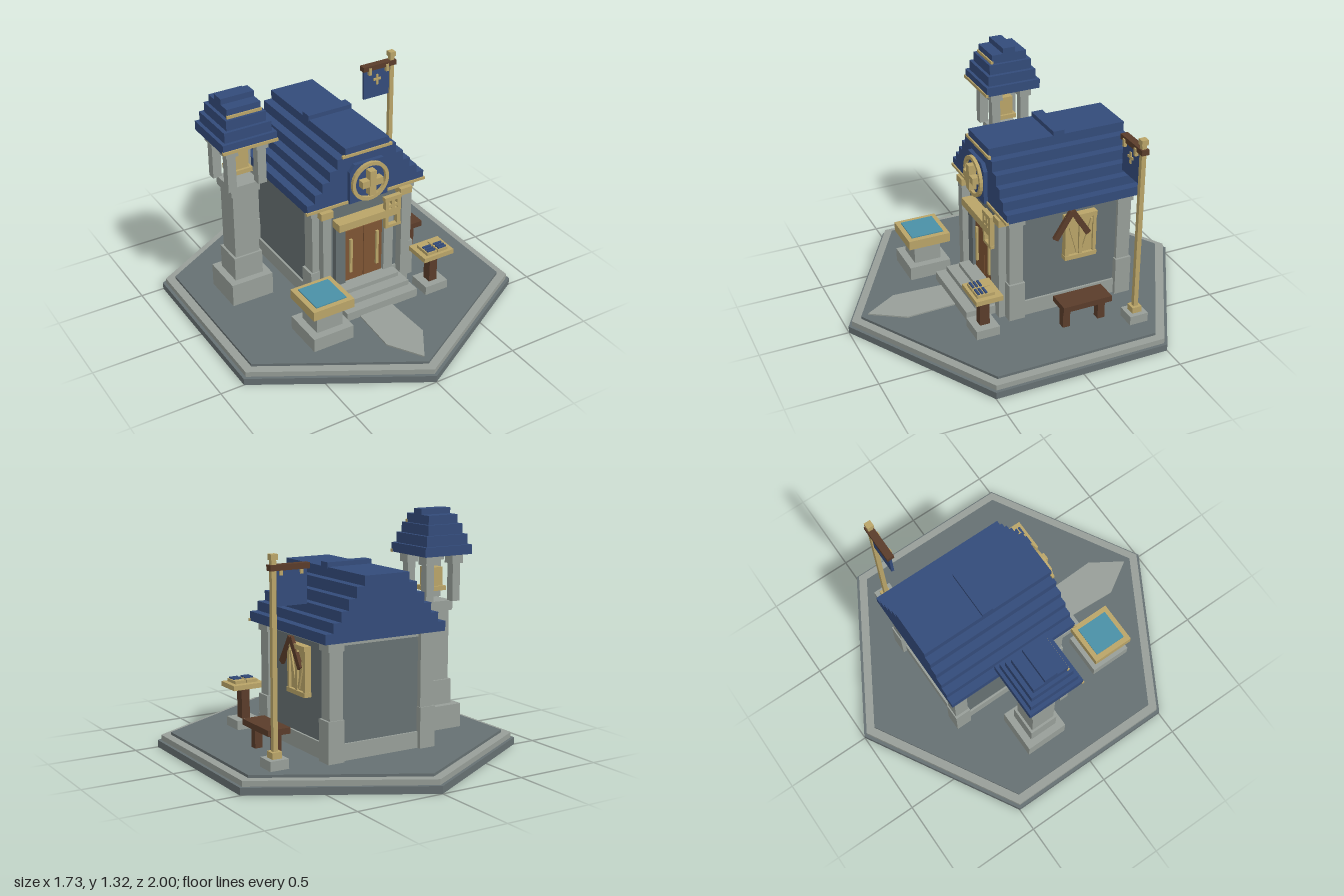
import * as THREE from 'three';

const mat = (name, color) => {
  const m = new THREE.MeshStandardMaterial({ color, flatShading: true });
  m.name = name;
  return m;
};

export function createModel() {
  const light = mat('light stone', 0x979e98), slate = mat('slate stone', 0x667072);
  const navy = mat('navy tiles', 0x334b7a), gold = mat('gold', 0xb9a468);
  const brown = mat('dark wood', 0x5a3c2a), door = mat('door wood', 0x7d5433);
  const teal = mat('water', 0x4a90a6);

  const model = new THREE.Group();
  model.name = 'chapel';
  const group = (name, x = 0, y = 0, z = 0) => {
    const g = new THREE.Group();
    g.name = name;
    g.position.set(x, y, z);
    model.add(g);
    return g;
  };
  // Box given by its min and max on each axis
  const box = (parent, name, m, x0, x1, y0, y1, z0, z1) => {
    const mesh = new THREE.Mesh(new THREE.BoxGeometry(x1 - x0, y1 - y0, z1 - z0), m);
    mesh.position.set((x0 + x1) / 2, (y0 + y1) / 2, (z0 + z1) / 2);
    mesh.name = name;
    parent.add(mesh);
    return mesh;
  };
  // Box centred on x and z of its parent
  const block = (parent, name, m, hx, hz, y0, y1, x = 0, z = 0) =>
    box(parent, name, m, x - hx, x + hx, y0, y1, z - hz, z + hz);
  const extrude = (parent, name, m, pts, depth) => {
    const shape = new THREE.Shape(pts.map(p => new THREE.Vector2(p[0], p[1])));
    const mesh = new THREE.Mesh(new THREE.ExtrudeGeometry(shape, { depth, bevelEnabled: false }), m);
    mesh.name = name;
    parent.add(mesh);
    return mesh;
  };

  // Hexagonal ground
  const ground = group('ground');
  for (const [name, m, r, y0, y1] of [['groundBase', slate, 1, 0, 0.04],
    ['groundRim', light, 0.98, 0.04, 0.07], ['groundTop', slate, 0.925, 0.07, 0.085]]) {
    const hex = new THREE.Mesh(new THREE.CylinderGeometry(r, r, y1 - y0, 6), m);
    hex.position.y = (y0 + y1) / 2;
    hex.name = name;
    ground.add(hex);
  }
  const path = extrude(ground, 'path', light,
    [[-0.1, -0.4], [-0.115, -0.7], [0, -0.885], [0.118, -0.7], [0.108, -0.4]], 0.008);
  path.rotation.x = -Math.PI / 2;
  path.position.y = 0.085;

  // Chapel walls, corner piers and beams
  const hall = group('hall', 0.046);
  box(hall, 'walls', slate, -0.3, 0.3, 0.085, 0.715, -0.5, 0.19);
  box(hall, 'plinth', light, -0.312, 0.312, 0.085, 0.175, -0.512, 0.2);
  box(hall, 'wallBeam', light, -0.308, 0.308, 0.69, 0.717, -0.508, 0.195);
  for (const s of [-1, 1]) {
    for (const z of [0.16, -0.487]) {
      block(hall, 'pier', light, 0.04, 0.04, 0.3, 0.67, s * 0.28, z);
      block(hall, 'pierBase', light, 0.048, 0.047, 0.085, 0.31, s * 0.285, z);
      block(hall, 'pierCapital', light, 0.047, 0.047, 0.668, 0.717, s * 0.283, z);
    }
    block(hall, 'frontColumn', light, 0.026, 0.024, 0.085, 0.66, s * 0.252, 0.22);
    block(hall, 'columnCapital', gold, 0.037, 0.03, 0.66, 0.7, s * 0.252, 0.218);
    // Doorway
    box(hall, 'doorJamb', s > 0 ? light : slate, s * 0.155 - 0.03, s * 0.155 + 0.03, 0.15, 0.56, 0.18, 0.225);
    block(hall, 'doorLeaf', door, 0.059, 0.01, 0.19, 0.515, s * 0.061, 0.2);
    block(hall, 'doorHandle', gold, 0.008, 0.008, 0.245, 0.46, s * 0.085, 0.215);
  }
  box(hall, 'doorGap', brown, -0.004, 0.004, 0.19, 0.515, 0.19, 0.2);
  box(hall, 'doorLintel', gold, -0.187, 0.19, 0.56, 0.605, 0.18, 0.262);
  for (const [h, y0, y1, z] of [[0.228, 0.085, 0.135, 0.415], [0.21, 0.135, 0.165, 0.355], [0.182, 0.165, 0.19, 0.29]])
    box(hall, 'step', light, -h, h, y0, y1, 0.15, z);

  // Hanging gold bracket beside the door
  const bracket = group('bracket', 0.205);
  for (const [x0, x1, y0, y1] of [[-0.055, 0.052, 0.658, 0.682], [-0.05, -0.03, 0.5, 0.66], [0.025, 0.048, 0.5, 0.66],
    [-0.04, 0.04, 0.615, 0.632], [-0.05, 0.052, 0.488, 0.505], [-0.01, 0.008, 0.6, 0.66]])
    box(bracket, 'bracketBar', gold, x0, x1, y0, y1, 0.235, 0.262);

  // Window with shutters and wooden hood on the right side wall
  const win = group('sideWindow', 0, 0, -0.215);
  box(win, 'shutters', gold, 0.34, 0.37, 0.395, 0.66, -0.085, 0.085);
  for (const z of [-0.083, 0, 0.083]) box(win, 'windowPost', gold, 0.34, 0.383, 0.395, 0.66, z - 0.01, z + 0.01);
  for (const y of [0.39, 0.635]) box(win, 'windowRail', gold, 0.34, 0.388, y, y + 0.025, -0.095, 0.095);
  for (const s of [-1, 1]) {
    const plank = block(win, 'hoodPlank', brown, 0.01, 0.016, -0.09, 0.09);
    plank.position.set(0.381, 0.612, 0.055 + s * 0.05);
    plank.rotation.x = -s * 0.57;
    const brace = block(win, 'shutterBrace', gold, 0.006, 0.008, -0.1, 0.1);
    brace.position.set(0.373, 0.52, s * 0.042);
    brace.rotation.x = s * 0.28;
  }

  // Stepped main roof
  const roof = group('mainRoof', 0.046);
  const levels = [0.717, 0.77, 0.822, 0.877, 0.935, 0.995, 1.048];
  [0.368, 0.321, 0.275, 0.23, 0.183, 0.135].forEach((h, i) =>
    box(roof, 'roofStep', navy, -h, h, levels[i], levels[i + 1], -0.565, 0.235));
  box(roof, 'ridgeCap', navy, -0.137, 0.137, 1.04, 1.073, -0.205, -0.14);
  box(roof, 'eaveTrim', gold, -0.375, 0.375, 0.715, 0.73, 0.228, 0.243);
  box(roof, 'upperTrim', gold, -0.155, 0.155, 0.995, 1.01, 0.228, 0.243);

  // Gable medallion with beaded ring and cross
  const medal = group('medallion', 0.046, 0.833, 0.23);
  extrude(medal, 'medallionPlate', navy, [[-0.12, -0.115], [0.12, -0.115], [0.12, 0.075], [0.09, 0.115],
    [-0.09, 0.115], [-0.12, 0.075]], 0.028);
  for (let i = 0; i < 28; i++) {
    const a = i / 28 * Math.PI * 2;
    const bead = new THREE.Mesh(new THREE.BoxGeometry(0.02, 0.026, 0.022), gold);
    bead.position.set(Math.cos(a) * 0.104, Math.sin(a) * 0.104, 0.036);
    bead.rotation.z = a;
    bead.name = 'ringBead';
    medal.add(bead);
  }
  box(medal, 'crossUpright', gold, -0.02, 0.02, -0.073, 0.073, 0.02, 0.07);
  box(medal, 'crossArm', gold, -0.065, 0.065, -0.02, 0.02, 0.02, 0.068);

  // Bell tower
  const tower = group('bellTower', -0.522, 0, -0.158);
  for (const [name, h, y0, y1] of [['towerBase', 0.125, 0.085, 0.22], ['towerFoot', 0.085, 0.22, 0.36],
    ['towerShaft', 0.072, 0.36, 0.755], ['towerSlab', 0.086, 0.755, 0.81]])
    block(tower, name, light, h, h, y0, y1);
  for (const sx of [-1, 1]) for (const sz of [-1, 1]) {
    block(tower, 'belfryPost', light, 0.025, 0.025, 0.808, 1.025, sx * 0.089, sz * 0.089);
    block(tower, 'belfryCapital', light, 0.036, 0.036, 1.02, 1.072, sx * 0.089, sz * 0.089);
  }
  for (const [hx, hz, y0, y1] of [[0.157, 0.163, 1.072, 1.125], [0.137, 0.145, 1.125, 1.183],
    [0.115, 0.127, 1.183, 1.24], [0.097, 0.104, 1.24, 1.29], [0.097, 0.037, 1.29, 1.322]])
    block(tower, 'towerRoofStep', navy, hx, hz, y0, y1);
  box(tower, 'towerEaveTrim', gold, -0.16, 0.16, 1.07, 1.087, 0.155, 0.17);
  box(tower, 'towerUpperTrim', gold, -0.1, 0.1, 1.24, 1.256, 0.098, 0.112);
  block(tower, 'bellHanger', gold, 0.011, 0.011, 0.99, 1.075);
  block(tower, 'bell', gold, 0.045, 0.045, 0.888, 0.995);
  block(tower, 'bellLip', gold, 0.06, 0.06, 0.865, 0.89);

  // Water basin
  const basin = group('basin', -0.349, 0, 0.428);
  block(basin, 'basinBase', light, 0.121, 0.121, 0.085, 0.165);
  block(basin, 'basinStem', light, 0.078, 0.078, 0.165, 0.29);
  block(basin, 'basinBowl', gold, 0.123, 0.123, 0.287, 0.341);
  block(basin, 'basinWater', teal, 0.092, 0.095, 0.339, 0.347);

  // Reading stand
  const stand = group('readingStand', 0.394, 0, 0.368);
  block(stand, 'standFoot', light, 0.073, 0.067, 0.085, 0.137);
  block(stand, 'standPost', brown, 0.025, 0.028, 0.137, 0.32);
  block(stand, 'standTray', gold, 0.097, 0.077, 0.315, 0.343);
  for (const s of [-1, 1]) {
    block(stand, 'bookPage', gold, 0.033, 0.05, 0.34, 0.36, s * 0.036, 0.01);
    for (const z of [0.005, 0.027, 0.048])
      block(stand, 'pageLine', navy, 0.026, 0.006, 0.36, 0.368, s * 0.036, z);
  }

  // Bench
  const bench = group('bench', 0.532, 0, -0.157);
  block(bench, 'benchSeat', brown, 0.066, 0.144, 0.21, 0.243);
  for (const s of [-1, 1]) block(bench, 'benchLeg', brown, 0.022, 0.021, 0.085, 0.212, 0, s * 0.105);

  // Banner pole
  const banner = group('bannerPole', 0.63, 0, -0.425);
  block(banner, 'poleFoot', light, 0.054, 0.054, 0.085, 0.137);
  block(banner, 'poleCollar', gold, 0.028, 0.028, 0.137, 0.172);
  block(banner, 'pole', gold, 0.013, 0.013, 0.17, 1.15);
  block(banner, 'finial', gold, 0.019, 0.019, 1.143, 1.173);
  box(banner, 'crossbar', brown, -0.2, 0.025, 1.09, 1.12, -0.022, 0.02);
  box(banner, 'cloth', navy, -0.19, -0.017, 0.91, 1.092, -0.008, 0.008);
  for (const x of [-0.157, -0.04]) box(banner, 'clothRing', gold, x - 0.009, x + 0.009, 1.065, 1.108, -0.015, 0.027);
  box(banner, 'clothCrossUpright', gold, -0.108, -0.095, 0.99, 1.055, 0.007, 0.015);
  box(banner, 'clothCrossArm', gold, -0.127, -0.076, 1.018, 1.032, 0.007, 0.015);

  return model;
}
